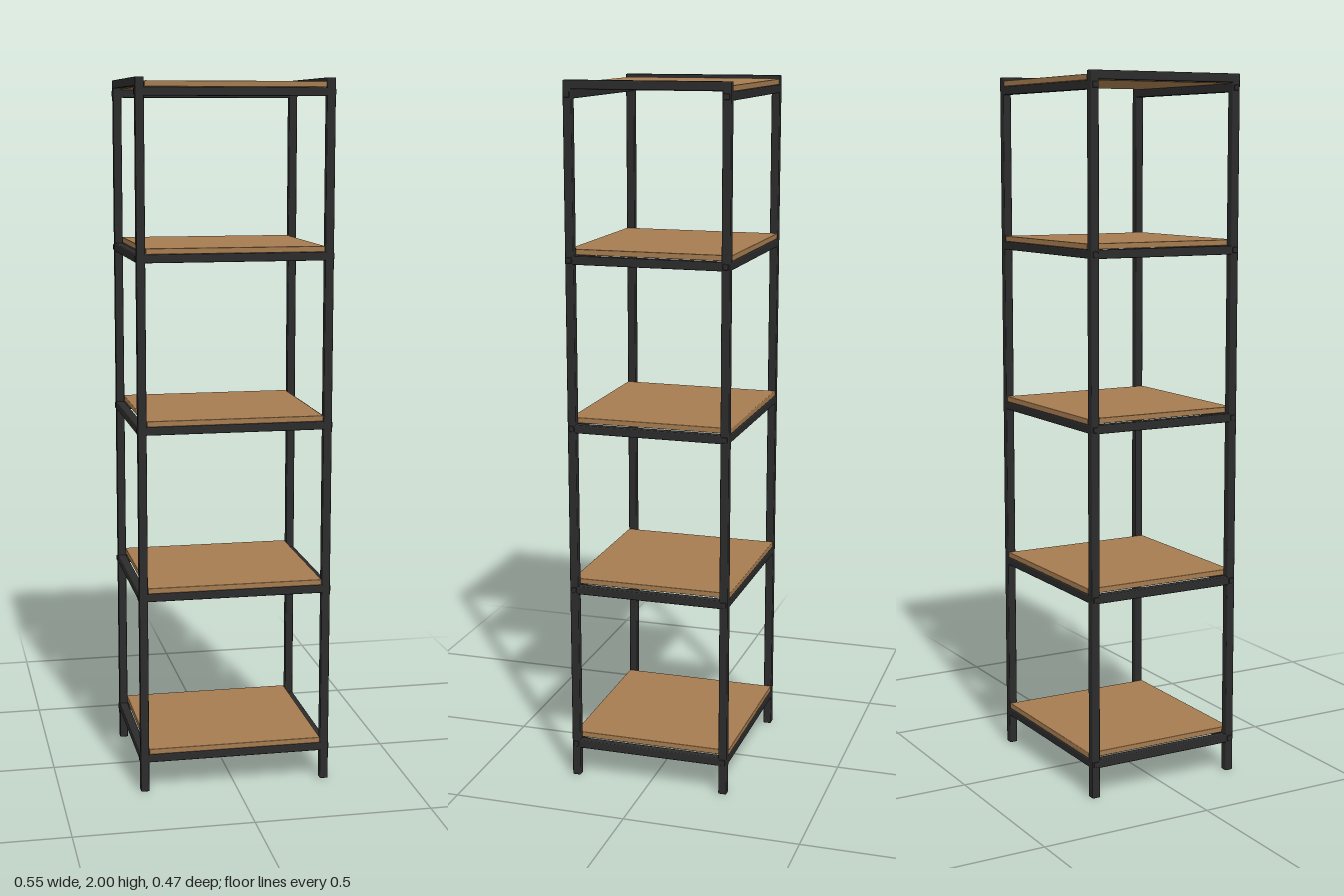
import * as THREE from 'three';
import { RoundedBoxGeometry } from 'three/addons/geometries/RoundedBoxGeometry.js';

export function createModel() {
  const model = new THREE.Group();
  model.name = 'shelfUnit';
  const metal = new THREE.MeshStandardMaterial({ name: 'dark metal', color: 0x2b2b2c });
  const wood = new THREE.MeshStandardMaterial({ name: 'brown wood', color: 0xa67c50 });

  const bar = (name, material, size, pos, radius = 0.003) => {
    const mesh = new THREE.Mesh(new RoundedBoxGeometry(...size, 2, radius), material);
    mesh.name = name;
    mesh.position.set(...pos);
    model.add(mesh);
  };

  const tube = 0.024, postX = 0.262, postZ = 0.221;
  const sides = [-1, 1];

  // Four upright posts
  for (const sx of sides) for (const sz of sides) {
    bar('post', metal, [tube, 1.996, tube], [sx * postX, 1.002, sz * postZ]);
  }

  // Five shelves, each a board on a frame of rails
  const boardTops = [0.13, 0.602, 1.075, 1.547, 1.99];
  boardTops.forEach((top, i) => {
    const isTop = i === 4;
    const railY = top - 0.028;
    const sideY = isTop ? 1.988 : railY;
    bar('board', wood, [0.498, 0.016, 0.464], [0, top - 0.008, 0], 0.002);
    for (const s of sides) {
      bar('crossRail', metal, [0.51, 0.023, tube], [0, railY, s * postZ]);
      bar('sideRail', metal, [tube, tube, isTop ? 0.466 : 0.43], [s * postX, sideY, 0]);
      // Small joint caps on the outer faces of the posts
      for (const sz of sides) {
        bar('jointCap', metal, [0.006, 0.016, 0.016], [s * 0.274, railY, sz * postZ], 0.002);
      }
    }
  });

  return model;
}
